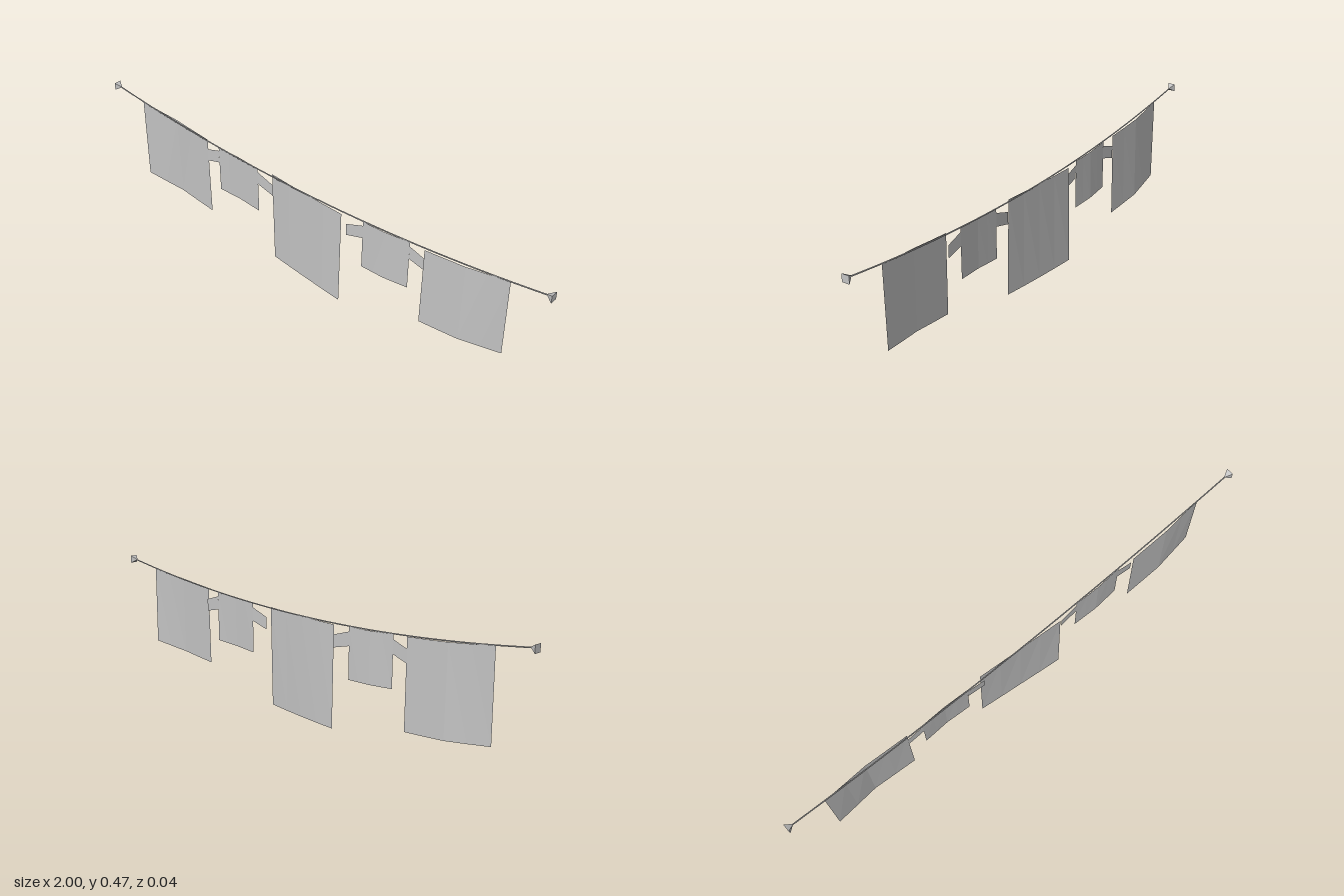
import * as THREE from 'three';

const grey = new THREE.MeshStandardMaterial({ color: 0xc2c2c2 });
grey.name = 'plain grey';
const clothGrey = new THREE.MeshStandardMaterial({ color: 0xc2c2c2, side: THREE.DoubleSide, flatShading: true });
clothGrey.name = 'cloth grey';

// Height of the sagging line at x
const lineY = (x) => 0.38 + 0.075 * x * x;

// Straight interpolation through evenly spaced values
function along(values, u) {
  const t = u * (values.length - 1);
  const i = Math.min(Math.floor(t), values.length - 2);
  return values[i] + (values[i + 1] - values[i]) * (t - i);
}

// Hanging cloth from x0 to x1; folds gives z across its width, growing downwards
function cloth(name, x0, x1, height, folds) {
  const geo = new THREE.PlaneGeometry(1, 1, 4, 1);
  const p = geo.attributes.position;
  for (let i = 0; i < p.count; i++) {
    const u = p.getX(i) + 0.5, down = 0.5 - p.getY(i);
    const x = x0 + (x1 - x0) * u;
    p.setXYZ(i, x, lineY(x) - 0.001 - height * down, along(folds, u) * (0.65 + 0.35 * down));
  }
  geo.computeVertexNormals();
  const mesh = new THREE.Mesh(geo, clothGrey);
  mesh.name = name;
  return mesh;
}

// Flat sleeve running from the body edge to the cuff: [x, top, bottom, z] at each end
function sleeve(name, a, b) {
  const geo = new THREE.PlaneGeometry(1, 1);
  const p = geo.attributes.position;
  const [l, r] = a[0] < b[0] ? [a, b] : [b, a];
  [[l, 1], [r, 1], [l, 2], [r, 2]].forEach(([e, k], i) => p.setXYZ(i, e[0], e[k], e[3]));
  geo.computeVertexNormals();
  const mesh = new THREE.Mesh(geo, clothGrey);
  mesh.name = name;
  return mesh;
}

function shirt(name, x0, x1, height, folds, rightCuff, leftCuff) {
  const g = new THREE.Group();
  g.name = name;
  const shoulder = (x, z) => [x, lineY(x) - 0.018, lineY(x) - 0.07, z * 0.7];
  g.add(
    cloth('shirtBody', x0, x1, height, folds),
    sleeve('rightSleeve', shoulder(x0, folds[0]), rightCuff),
    sleeve('leftSleeve', shoulder(x1, folds[folds.length - 1]), leftCuff)
  );
  return g;
}

export function createModel() {
  const model = new THREE.Group();
  model.name = 'clothesline';

  // Sagging rope
  const points = [];
  for (let i = 0; i <= 16; i++) {
    const x = -0.985 + (1.97 * i) / 16;
    points.push(new THREE.Vector3(x, lineY(x), 0));
  }
  const rope = new THREE.Mesh(new THREE.TubeGeometry(new THREE.CatmullRomCurve3(points), 32, 0.0025, 5), grey);
  rope.name = 'rope';
  model.add(rope);

  // Pyramid wall anchors, points facing inwards
  for (const side of [-1, 1]) {
    const geo = new THREE.ConeGeometry(0.0145 * Math.SQRT2, 0.026, 4).toNonIndexed();
    geo.rotateY(Math.PI / 4).rotateZ((side * Math.PI) / 2);
    geo.computeVertexNormals();
    const anchor = new THREE.Mesh(geo, grey);
    anchor.name = side < 0 ? 'rightAnchor' : 'leftAnchor';
    anchor.position.set(side * 0.987, 0.453, 0);
    model.add(anchor);
  }

  // Sheets
  model.add(
    cloth('rightSheet', -0.85, -0.503, 0.329, [0, -0.019, -0.011]),
    cloth('middleSheet', -0.176, 0.173, 0.38, [-0.019, 0, 0.02]),
    cloth('leftSheet', 0.525, 0.847, 0.303, [0.014, 0.015, -0.004])
  );

  // Shirts
  model.add(
    shirt('rightShirt', -0.44, -0.24, 0.19, [-0.004, -0.01, -0.005],
      [-0.505, 0.355, 0.305, -0.006], [-0.165, 0.342, 0.295, -0.003]),
    shirt('leftShirt', 0.26, 0.46, 0.192, [0.003, 0.008, 0.002],
      [0.188, 0.342, 0.295, 0.004], [0.525, 0.357, 0.31, 0.002])
  );
  return model;
}
